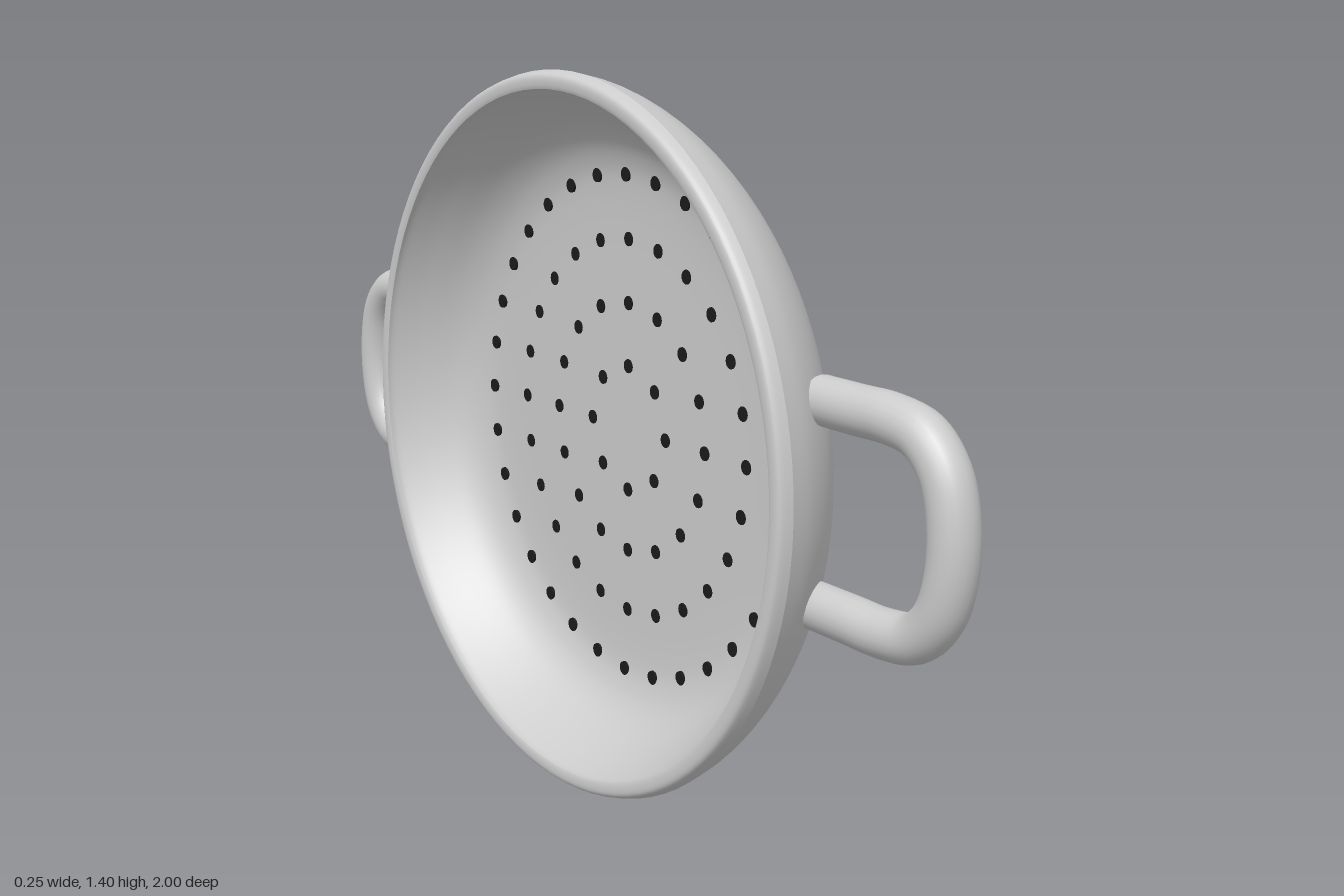
import * as THREE from 'three';

const CENTER_Y = 0.7;
const FLOOR = 0.06;

const grey = new THREE.MeshStandardMaterial({ color: 0xcccccc, side: THREE.DoubleSide });
const dark = new THREE.MeshStandardMaterial({ color: 0x1a1a1a });

function add(parent, name, geometry, material = grey) {
  const mesh = new THREE.Mesh(geometry, material);
  mesh.name = name;
  parent.add(mesh);
  return mesh;
}

// Smooth lathe surface through [radius, height] points
function turned(points, steps) {
  const curve = new THREE.SplineCurve(points.map(([r, h]) => new THREE.Vector2(r, h)));
  const profile = curve.getPoints(steps);
  profile.forEach((p) => { p.x = Math.max(p.x, 0); });
  return new THREE.LatheGeometry(profile, 96);
}

// Pan shell, turned around its own upright axis: floor up, opening down
function createPan() {
  const pan = new THREE.Group();
  pan.name = 'pan';
  add(pan, 'innerBowl', turned([
    [0, FLOOR], [0.25, FLOOR], [0.45, FLOOR - 0.002], [0.53, FLOOR - 0.015],
    [0.585, 0.01], [0.63, -0.05], [0.66, -0.105], [0.665, -0.123],
  ], 40));
  add(pan, 'rim', turned([
    [0.665, -0.123], [0.672, -0.125], [0.685, -0.125], [0.694, -0.119], [0.7, -0.1],
  ], 12));
  add(pan, 'outerBowl', turned([
    [0.7, -0.1], [0.687, -0.05], [0.662, 0], [0.628, 0.045], [0.59, 0.079],
    [0.54, 0.1], [0.45, 0.112], [0.35, 0.12], [0.2, 0.123], [0, 0.124],
  ], 48));

  // Four rings of dark perforations in the floor
  const hole = new THREE.CylinderGeometry(0.014, 0.014, 0.012, 16);
  for (let ring = 1; ring <= 4; ring++) {
    const count = ring * 8;
    for (let i = 0; i < count; i++) {
      const a = (i / count) * Math.PI * 2;
      const r = ring * 0.125;
      const drop = ring === 4 ? 0.008 : 0;
      add(pan, 'hole', hole, dark)
        .position.set(r * Math.cos(a), FLOOR + 0.004 - drop, r * Math.sin(a));
    }
  }
  return pan;
}

// Looped tube handle reaching out along +z, with closed ends
function createHandle() {
  const handle = new THREE.Group();
  const half = [[0.18, 0.635], [0.18, 0.73], [0.18, 0.81], [0.165, 0.883], [0.11, 0.935]];
  const path = [...half, [0, 0.957], ...half.map(([y, z]) => [-y, z]).reverse()];
  const curve = new THREE.CatmullRomCurve3(path.map(([y, z]) => new THREE.Vector3(0, y, z)));
  add(handle, 'handleLoop', new THREE.TubeGeometry(curve, 64, 0.043, 20));
  for (const s of [1, -1]) {
    const cap = add(handle, 'handleEnd', new THREE.CircleGeometry(0.043, 20));
    cap.position.set(0, s * 0.18, 0.635);
    cap.rotation.y = Math.PI;
  }
  return handle;
}

export function createModel() {
  const model = new THREE.Group();
  model.name = 'perforatedPan';

  // Stand the pan on its edge, base towards +x
  const pan = createPan();
  pan.rotation.z = -Math.PI / 2;
  pan.position.y = CENTER_Y;
  model.add(pan);

  for (const [name, turn] of [['frontHandle', 0], ['backHandle', Math.PI]]) {
    const handle = createHandle();
    handle.name = name;
    handle.rotation.y = turn;
    handle.position.set(0.008, CENTER_Y, 0);
    model.add(handle);
  }
  return model;
}
